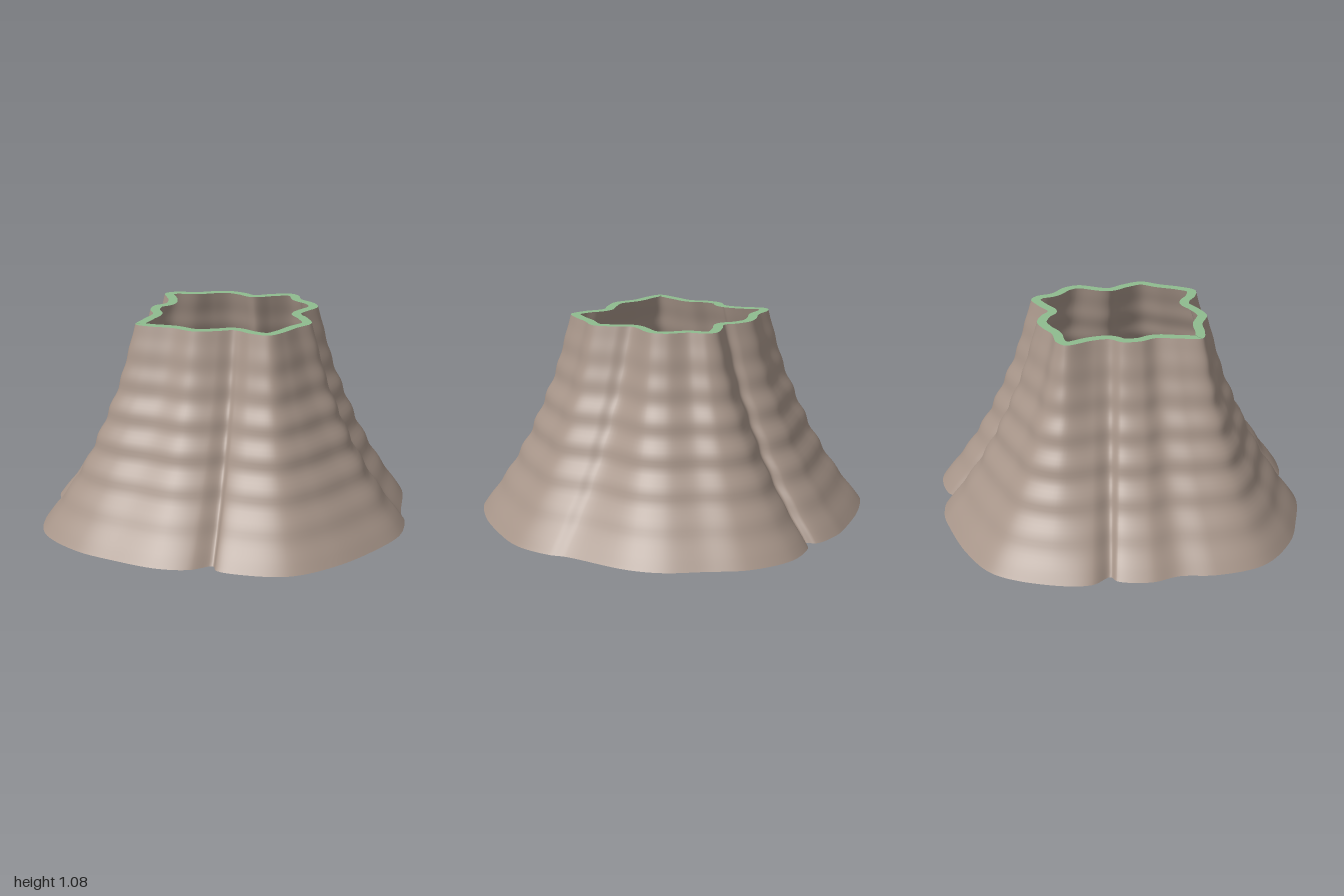
import * as THREE from 'three';

const HEIGHT = 1.075, AROUND = 264, ROWS = 56, RIM = 0.05;

// Paired outline points: hem x, hem z, neck x, neck z
const OUTLINE = [
  [0.9, -0.24, 0.36, -0.1], [0.95, -0.16, 0.42, -0.04], [1, 0.04, 0.49, 0.06],
  [0.96, 0.28, 0.46, 0.17], [0.86, 0.56, 0.44, 0.28], [0.71, 0.77, 0.4, 0.37],
  [0.49, 0.86, 0.3, 0.38], [0.36, 0.87, 0.23, 0.36], [0.32, 0.83, 0.19, 0.36],
  [0.24, 0.92, 0.13, 0.41], [0.09, 0.98, 0.03, 0.47], [-0.16, 0.99, -0.1, 0.46],
  [-0.39, 0.97, -0.22, 0.485], [-0.65, 0.85, -0.3, 0.48], [-0.78, 0.63, -0.32, 0.36],
  [-0.82, 0.44, -0.33, 0.25], [-0.9, 0.31, -0.385, 0.18], [-0.915, 0.14, -0.41, 0.09],
  [-0.88, 0.1, -0.38, 0.02], [-0.97, 0.02, -0.41, -0.06], [-1, -0.2, -0.495, -0.18],
  [-0.94, -0.48, -0.46, -0.235], [-0.76, -0.66, -0.35, -0.28], [-0.5, -0.82, -0.28, -0.34],
  [-0.37, -0.88, -0.2, -0.385], [-0.2, -0.9, -0.1, -0.38], [-0.16, -0.86, -0.04, -0.36],
  [-0.12, -0.92, 0.03, -0.42], [0.07, -1, 0.12, -0.48], [0.32, -0.96, 0.18, -0.46],
  [0.5, -0.84, 0.23, -0.39], [0.67, -0.72, 0.33, -0.34], [0.78, -0.57, 0.38, -0.27],
];

// How far the cloth flares from neck (0) to hem (1), by height
const FLARE = [[0, 1], [0.2, 0.72], [0.4, 0.49], [0.6, 0.31], [0.775, 0.17], [0.93, 0.08], [HEIGHT, 0]];
const flareCurve = new THREE.CatmullRomCurve3(FLARE.map(([y, s]) => new THREE.Vector3(s, y, 0)));

const outline = (k) => new THREE.CatmullRomCurve3(
  OUTLINE.map((p) => new THREE.Vector3(p[k], 0, p[k + 1])), true, 'centripetal');

// Joins closed loops of points, listed from the bottom up, into one smooth surface
function loft(loops) {
  const positions = [], index = [], n = loops[0].length;
  loops.forEach((loop) => loop.forEach((p) => positions.push(p.x, p.y, p.z)));
  for (let i = 0; i < loops.length - 1; i++) {
    for (let j = 0; j < n; j++) {
      const a = i * n + j, b = i * n + (j + 1) % n;
      index.push(a, a + n, b, b, a + n, b + n);
    }
  }
  const geometry = new THREE.BufferGeometry();
  geometry.setAttribute('position', new THREE.Float32BufferAttribute(positions, 3));
  geometry.setIndex(index);
  geometry.computeVertexNormals();
  return geometry;
}

export function createModel() {
  const cloth = new THREE.MeshStandardMaterial({ color: 0xa8968a, side: THREE.DoubleSide });
  cloth.name = 'taupe cloth';
  const trim = new THREE.MeshStandardMaterial({ color: 0x8fbc8f, side: THREE.DoubleSide });
  trim.name = 'green trim';

  const hem = outline(0), neck = outline(2);
  const steps = Array.from({ length: AROUND }, (_, j) => j / AROUND);
  const hemLoop = steps.map((t) => hem.getPoint(t));
  const neckLoop = steps.map((t) => neck.getPoint(t).setY(HEIGHT));

  // Folded wall, with soft horizontal ripples that fade at both edges
  const loops = [];
  for (let i = 0; i <= ROWS; i++) {
    const { x: flare, y } = flareCurve.getPoint(i / ROWS);
    const v = y / HEIGHT;
    const ripple = 1 + 0.01 * Math.sin(v * Math.PI * 14) * Math.sin(v * Math.PI);
    loops.push(steps.map((_, j) => {
      const p = neckLoop[j].clone().lerp(hemLoop[j], flare);
      return p.set(p.x * ripple, y, p.z * ripple);
    }));
  }
  const wall = new THREE.Mesh(loft(loops), cloth);
  wall.name = 'foldedWall';

  // Flat rim, inset from the neck outline
  const inner = steps.map((t, j) => {
    const d = neck.getTangent(t);
    return neckLoop[j].clone().add(new THREE.Vector3(-d.z, 0, d.x).multiplyScalar(RIM));
  });
  const rim = new THREE.Mesh(loft([neckLoop, inner]), trim);
  rim.name = 'topRim';

  const group = new THREE.Group();
  group.name = 'flaredSkirt';
  group.add(wall, rim);
  return group;
}
